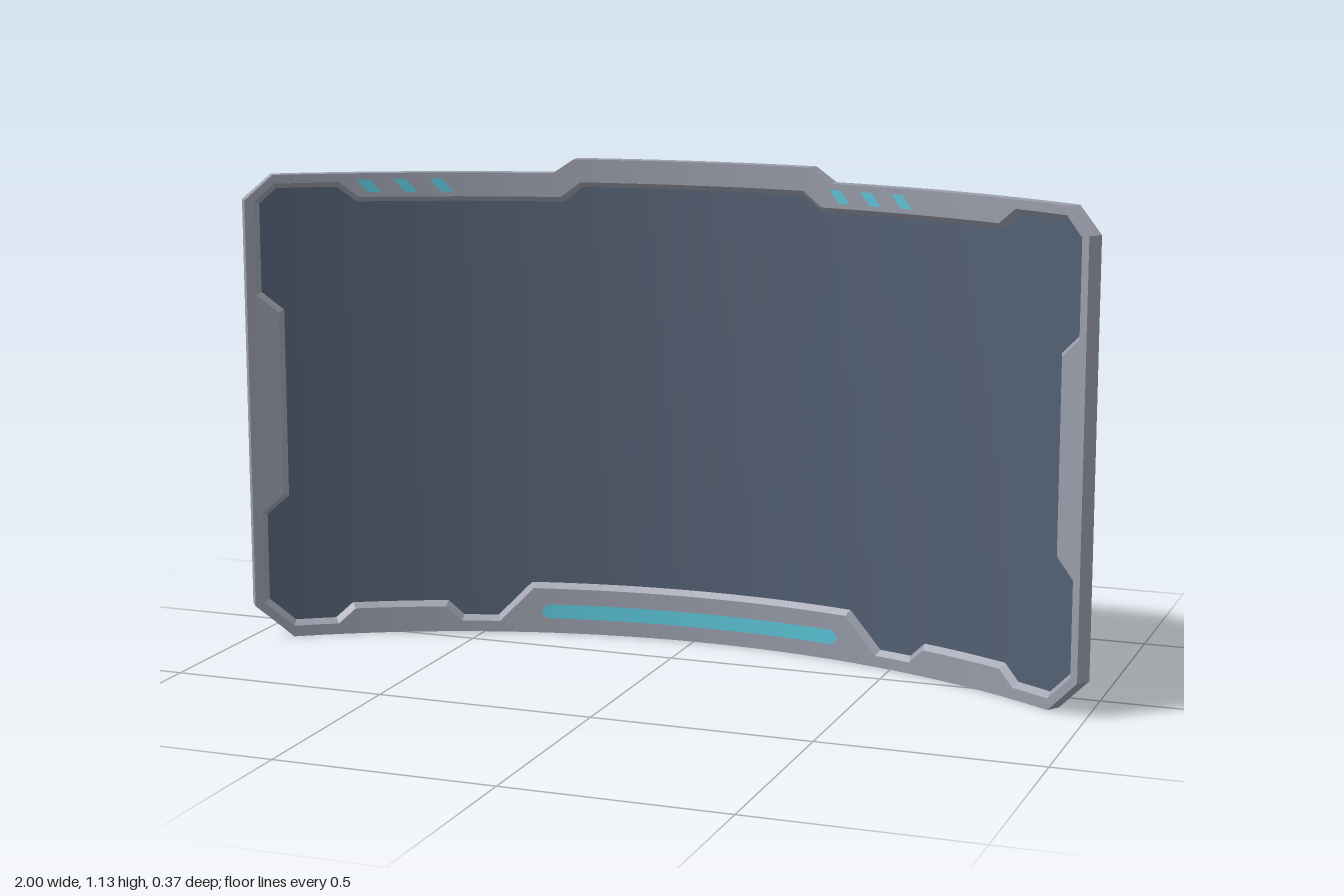
import * as THREE from 'three';

const R = 1.68;          // radius of the curved back
const CENTRE_Z = 1.493;  // centre of that curve
const DEPTH = 0.035;     // frame thickness
const SCREEN = 0.021;    // height of the recessed screen above the back
const STEP = 0.06;       // longest x span of a facet
const FIT = R / (R - DEPTH); // widens outlines that lie on the inner curve

// Bend a flat point (x, y) at height t above the back onto the curve
function bend([x, y], t) {
  const r = R - t, s = x / R;
  return [r * s, y, CENTRE_Z - r * Math.sqrt(1 - s * s)];
}

// Close a right-hand half outline (bottom to top) with its mirror image
const mirror = half => [...half, ...half.map(([x, y]) => [-x, y]).reverse()];

// Push an anticlockwise outline outward with mitred corners
function offset(loop, d) {
  const n = loop.length;
  const normal = (a, b) => {
    const dx = b[0] - a[0], dy = b[1] - a[1], l = Math.hypot(dx, dy);
    return [dy / l, -dx / l];
  };
  return loop.map((p, i) => {
    const m = normal(loop[(i + n - 1) % n], p), k = normal(p, loop[(i + 1) % n]);
    const f = d / (1 + m[0] * k[0] + m[1] * k[1]);
    return [p[0] + (m[0] + k[0]) * f, p[1] + (m[1] + k[1]) * f];
  });
}

// Split a triangle along x until it can follow the curve
function split(tri, out) {
  let worst = 0;
  const span = i => Math.abs(tri[i][0] - tri[(i + 1) % 3][0]);
  for (let i = 1; i < 3; i++) if (span(i) > span(worst)) worst = i;
  if (span(worst) <= STEP) { out.push(tri); return; }
  const a = tri[worst], b = tri[(worst + 1) % 3], c = tri[(worst + 2) % 3];
  const m = [(a[0] + b[0]) / 2, (a[1] + b[1]) / 2];
  split([a, m, c], out);
  split([m, b, c], out);
}

// Smooth curved sheet filling an outline, facing forward or backward
function sheet(loop, holes, t, back = false) {
  const v = pts => pts.map(p => new THREE.Vector2(...p));
  const all = [loop, ...holes].flat();
  const tris = [];
  for (const f of THREE.ShapeUtils.triangulateShape(v(loop), holes.map(v))) {
    const [a, b, c] = f.map(i => all[i]);
    const area = (b[0] - a[0]) * (c[1] - a[1]) - (c[0] - a[0]) * (b[1] - a[1]);
    split((area > 0) !== back ? [a, b, c] : [a, c, b], tris);
  }
  const sign = back ? -1 : 1, pos = [], nor = [];
  for (const p of tris.flat()) {
    const s = p[0] / R;
    pos.push(...bend(p, t));
    nor.push(-s * sign, 0, Math.sqrt(1 - s * s) * sign);
  }
  const g = new THREE.BufferGeometry();
  g.setAttribute('position', new THREE.Float32BufferAttribute(pos, 3));
  g.setAttribute('normal', new THREE.Float32BufferAttribute(nor, 3));
  return g;
}

// Flat-faced band joining two matching outlines at different heights
function band(loop0, t0, loop1, t1) {
  const pos = [], n = loop0.length;
  const mix = (a, b, k) => [a[0] + (b[0] - a[0]) * k, a[1] + (b[1] - a[1]) * k];
  for (let i = 0; i < n; i++) {
    const j = (i + 1) % n;
    const cuts = Math.max(1, Math.ceil(Math.abs(loop0[i][0] - loop0[j][0]) / STEP));
    for (let c = 0; c < cuts; c++) {
      const k = c / cuts, l = (c + 1) / cuts;
      const a0 = bend(mix(loop0[i], loop0[j], k), t0), b0 = bend(mix(loop0[i], loop0[j], l), t0);
      const a1 = bend(mix(loop1[i], loop1[j], k), t1), b1 = bend(mix(loop1[i], loop1[j], l), t1);
      pos.push(...a0, ...b0, ...b1, ...a0, ...b1, ...a1);
    }
  }
  const g = new THREE.BufferGeometry();
  g.setAttribute('position', new THREE.Float32BufferAttribute(pos, 3));
  g.computeVertexNormals();
  return g;
}

export function createModel() {
  const material = (name, color) => {
    const m = new THREE.MeshStandardMaterial({ color });
    m.name = name;
    return m;
  };
  const frameGrey = material('frameGrey', 0x9a9eab);
  const screenBlue = material('screenBlue', 0x536074);
  const lightCyan = material('lightCyan', 0x5cc6da);

  const model = new THREE.Group();
  model.name = 'curvedScreen';
  const add = (name, geometry, mat) => {
    const mesh = new THREE.Mesh(geometry, mat);
    mesh.name = name;
    model.add(mesh);
  };

  // Outlines of the frame, the screen and the upper lip of the bevel
  const outer = mirror([[0.925, 0], [1, 0.08], [1, 1.04], [0.945, 1.097],
    [0.34, 1.097], [0.29, 1.13]]);
  const inner = mirror([[0.39, 0.12], [0.468, 0.038], [0.545, 0.038], [0.58, 0.073],
    [0.785, 0.073], [0.82, 0.038], [0.9, 0.038], [0.95, 0.092], [0.95, 0.297],
    [0.908, 0.34], [0.908, 0.782], [0.95, 0.825], [0.95, 1.03], [0.918, 1.065],
    [0.8, 1.065], [0.76, 1.03], [0.31, 1.03], [0.265, 1.065]]
    .map(([x, y]) => [x * FIT, y]));
  const lip = offset(inner, 0.012);

  // Frame shell
  add('frameFront', sheet(outer, [lip], DEPTH), frameGrey);
  add('frameBack', sheet(outer, [], 0, true), frameGrey);
  add('frameEdge', band(outer, 0, outer, DEPTH), frameGrey);
  add('frameBevel', band(lip, DEPTH, inner, SCREEN), frameGrey);

  // Recessed screen
  add('screen', sheet(inner, [], SCREEN), screenBlue);

  // Long light bar below the screen
  const bar = mirror([[0.36, 0.036], [0.375, 0.053], [0.36, 0.07]]);
  add('lightBar', sheet(bar, [], DEPTH + 0.002), lightCyan);

  // Two sets of three slanted lights above the screen
  for (const [name, start] of [['rightLight', -0.735], ['leftLight', 0.36]]) {
    for (let i = 0; i < 3; i++) {
      const x = (start + i * 0.077) * FIT;
      const dash = [[x - 0.002, 1.053], [x + 0.026, 1.053], [x + 0.002, 1.083], [x - 0.026, 1.083]];
      add(name + (i + 1), sheet(dash, [], DEPTH + 0.002), lightCyan);
    }
  }

  // Slight turn of the whole panel
  model.rotation.y = 0.0125;
  return model;
}
